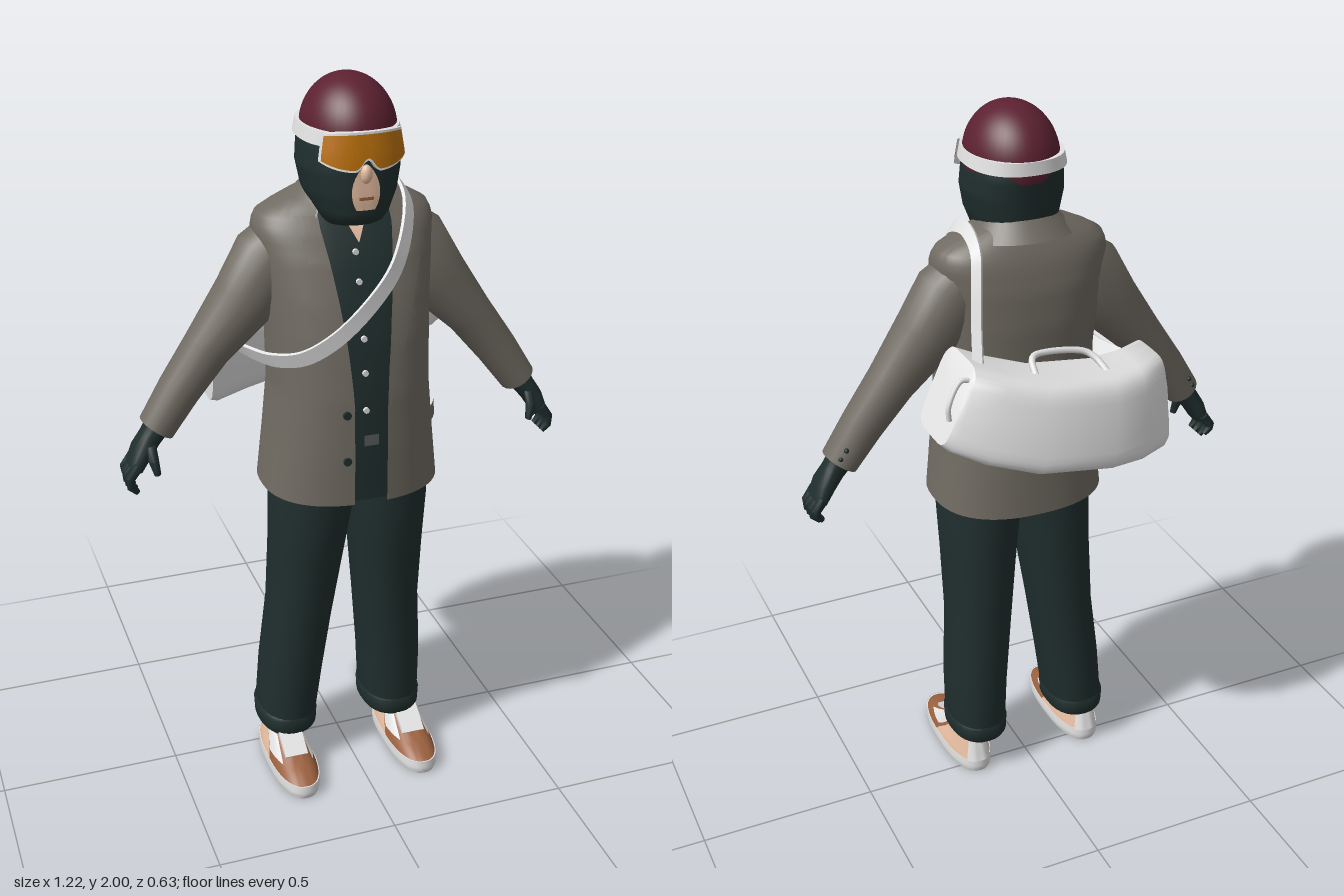
import * as THREE from 'three';
import { toCreasedNormals } from 'three/addons/utils/BufferGeometryUtils.js';

const mat = (name, color) => new THREE.MeshStandardMaterial({ name, color, side: THREE.DoubleSide });
const V = (x, y, z) => new THREE.Vector3(x, y, z);
const TAU = Math.PI * 2;

// Grid surface from a rule f(u, v) -> Vector3
function surface(f, nu, nv) {
  const pos = [], idx = [];
  for (let j = 0; j <= nv; j++)
    for (let i = 0; i <= nu; i++) pos.push(...f(i / nu, j / nv).toArray());
  for (let j = 0; j < nv; j++)
    for (let i = 0; i < nu; i++) {
      const a = j * (nu + 1) + i, b = a + nu + 1;
      idx.push(a, a + 1, b, b, a + 1, b + 1);
    }
  const g = new THREE.BufferGeometry();
  g.setAttribute('position', new THREE.Float32BufferAttribute(pos, 3));
  g.setIndex(idx);
  return toCreasedNormals(g, 0.8);
}

const pw = (s, n) => Math.sign(s) * Math.pow(Math.abs(s), 2 / n);

// Limb through stations [x, y, z, radius across, radius in z], capped at both ends
function limb(st, n = 2, sides = 20) {
  const rings = st.map((s, i) => {
    const a = st[Math.max(i - 1, 0)], b = st[Math.min(i + 1, st.length - 1)];
    const d = V(b[0] - a[0], b[1] - a[1], 0).normalize();
    return { s, ax: -d.y, ay: d.x };
  });
  const all = [{ ...rings[0], k: 0 }, ...rings, { ...rings[rings.length - 1], k: 0 }];
  return surface((u, v) => {
    const { s, ax, ay, k = 1 } = all[Math.round(v * (all.length - 1))];
    const p = k * s[3] * pw(Math.cos(u * TAU), n), q = k * s[4] * pw(Math.sin(u * TAU), n);
    return V(s[0] + ax * p, s[1] + ay * p, s[2] + q);
  }, sides, all.length - 1);
}

// Upright body described by rows [y, half width, front z, back z]; t = 0 faces the front
const rowAt = (table, y) => {
  let i = 0;
  while (i < table.length - 2 && y > table[i + 1][0]) i++;
  const a = table[i], b = table[i + 1];
  const k = THREE.MathUtils.clamp((y - a[0]) / (b[0] - a[0]), 0, 1);
  return a.map((q, j) => q + (b[j] - q) * k);
};
const N = 2.4;
function point(table, t, y, off = 0) {
  const [, w, f, b] = rowAt(table, y), s = Math.sin(t), c = Math.cos(t);
  return V(w * pw(s, N) + off * s, y, (f + b) / 2 + (f - b) / 2 * pw(c, N) + off * c);
}
const angleAt = (table, x, y) =>
  Math.sign(x) * Math.asin(Math.pow(Math.min(Math.abs(x) / rowAt(table, y)[1], 1), N / 2));
const loft = (table, t0, t1, y0, y1, off, nu = 48, nv = 24) =>
  surface((u, v) => point(table, t0 + (t1 - t0) * u, y0 + (y1 - y0) * v, off), nu, nv);
const disk = (table, y, off = 0) => surface((u, v) => {
  const [, , f, b] = rowAt(table, y);
  return point(table, u * TAU, y, off).lerp(V(0, y, (f + b) / 2), v);
}, 40, 1);
// Raised plate between x edges, following the front of a body
const plate = (table, y0, y1, xa, xb, off) => surface((u, v) => {
  const y = y0 + (y1 - y0) * v, x = xa(y) + (xb(y) - xa(y)) * u;
  return point(table, angleAt(table, x, y), y, off);
}, 8, 8);

const torso = [[0.905, 0.242, 0.285, -0.125], [1.05, 0.226, 0.285, -0.12], [1.2, 0.212, 0.28, -0.11],
  [1.35, 0.215, 0.262, -0.105], [1.45, 0.222, 0.238, -0.11], [1.55, 0.234, 0.202, -0.105],
  [1.62, 0.242, 0.165, -0.09], [1.655, 0.225, 0.14, -0.075], [1.69, 0.15, 0.12, -0.055], [1.71, 0.1, 0.11, -0.045]];
const head = [[1.58, 0.07, 0.11, -0.03], [1.63, 0.076, 0.15, -0.035], [1.645, 0.08, 0.205, -0.037],
  [1.67, 0.095, 0.22, -0.042], [1.72, 0.116, 0.224, -0.05], [1.78, 0.128, 0.222, -0.057],
  [1.83, 0.123, 0.221, -0.064], [1.89, 0.11, 0.215, -0.06]];
const sole = [[0, 0.062, 0.31, -0.045], [0.012, 0.067, 0.315, -0.05], [0.04, 0.066, 0.312, -0.048]];
const upper = [[0.038, 0.064, 0.309, -0.045], [0.052, 0.061, 0.285, -0.04], [0.078, 0.052, 0.215, -0.032], [0.11, 0.044, 0.15, -0.02]];

export function createModel() {
  const model = new THREE.Group();
  const wine = mat('wine knit', 0x5c2131), grey = mat('jacket grey', 0x706b62), dark = mat('dark green cloth', 0x1f2e2d),
    light = mat('light canvas', 0xe2e2e2), amber = mat('amber lens', 0xbd720c), skin = mat('skin', 0xe8bfa3),
    brown = mat('brown leather', 0x9b613f), metal = mat('dull metal', 0x565a5a);
  const add = (name, geo, material, parent = model) => {
    const m = new THREE.Mesh(geo, material);
    m.name = name;
    parent.add(m);
    return m;
  };
  const group = (name) => {
    const g = new THREE.Group();
    g.name = name;
    model.add(g);
    return g;
  };

  // Jacket, open down the front
  const gap = (y) => 0.045 + 0.055 * Math.pow(Math.max(0, (y - 1.15) / 0.51), 1.5);
  const jacket = group('jacket');
  add('jacketBody', surface((u, v) => {
    const y = 0.905 + 0.805 * v, g = angleAt(torso, Math.min(gap(y), 0.095), y);
    return point(torso, g + (TAU - 2 * g) * u, y);
  }, 56, 40), grey, jacket);
  add('jacketCollar', surface((u, v) => {
    const t = 0.75 + (TAU - 1.5) * u, a = [0.15, 0.108, 0.098][Math.round(v * 2)];
    const y = [1.68, 1.728, 1.69][Math.round(v * 2)] - 0.035 * (1 + Math.cos(t)) / 2;
    return V(a * Math.sin(t), y, 0.04 + (a - 0.015) * Math.cos(t));
  }, 36, 2), grey, jacket);
  for (const s of [1, -1]) {
    const side = s > 0 ? 'left' : 'right';
    const inner = (y) => s * gap(y);
    add(side + 'Lapel', plate(torso, 1.18, 1.54, inner, (y) => s * (gap(y) + 0.004 + 0.2 * (y - 1.18)), 0.009), grey, jacket);
    add(side + 'LapelTop', plate(torso, 1.555, 1.66, inner, (y) => s * (gap(y) + 0.05), 0.009), grey, jacket);
    add(side + 'PocketFlap', loft(torso, s * 0.62, s * 1.2, 1.09, 1.13, 0.009, 8, 2), grey, jacket);
  }
  add('breastWelt', plate(torso, 1.4, 1.42, () => 0.1, () => 0.16, 0.007), grey, jacket);

  // Shirt and waist inside the jacket
  const shirt = group('shirt');
  add('shirtBody', loft(torso, 0, TAU, 0.91, 1.68, -0.012), dark, shirt);
  add('shirtBottom', disk(torso, 0.91, -0.012), dark, shirt);
  add('neckSkin', plate(torso, 1.59, 1.66, (y) => -0.5 * (y - 1.59), (y) => 0.5 * (y - 1.59), -0.005), skin, shirt);
  const button = (name, x, y, off, r, m) => {
    const b = add(name, new THREE.CylinderGeometry(r, r, 0.008, 12), m, shirt);
    b.position.copy(point(torso, angleAt(torso, x, y), y, off));
    b.rotation.x = Math.PI / 2;
  };
  [1.57, 1.5, 1.36, 1.27, 1.17].forEach((y) => button('shirtButton', -0.012, y, -0.008, 0.008, light));
  [1.165, 1.035].forEach((y) => button('jacketButton', -0.065, y, 0.003, 0.011, dark));
  add('beltBuckle', plate(torso, 1.07, 1.1, () => -0.018, () => 0.022, -0.006), metal, shirt);

  // Sleeves and gloved hands
  for (const s of [1, -1]) {
    const arm = group(s > 0 ? 'leftArm' : 'rightArm');
    arm.scale.x = s;
    add('sleeve', limb([[0.15, 1.595, 0.03, 0.068, 0.075], [0.19, 1.532, 0.035, 0.1, 0.09], [0.265, 1.425, 0.04, 0.088, 0.083],
      [0.367, 1.305, 0.04, 0.065, 0.068], [0.45, 1.195, 0.045, 0.057, 0.06], [0.515, 1.1, 0.05, 0.05, 0.057]]), grey, arm);
    for (const k of [0, 1])
      add('cuffButton', new THREE.SphereGeometry(0.007, 8, 6), dark, arm).position.set(0.525 - k * 0.015, 1.13 + k * 0.025, 0.002 - k * 0.006);
    add('palm', limb([[0.51, 1.11, 0.05, 0.034, 0.038], [0.535, 1.075, 0.052, 0.03, 0.036], [0.56, 1.04, 0.054, 0.027, 0.047],
      [0.58, 1.0, 0.055, 0.021, 0.047]], 2.4), dark, arm);
    [0.015, 0.041, 0.067, 0.092].forEach((z, i) => {
      const d = i === 0 ? 0.015 : 0;
      add('finger', limb([[0.575, 1.015, z, 0.014, 0.013], [0.6, 0.98, z, 0.013, 0.013], [0.598, 0.955 + d, z, 0.012, 0.012],
        [0.582, 0.938 + d, z, 0.008, 0.008]], 2, 10), dark, arm);
    });
    add('thumb', limb([[0.54, 1.065, 0.08, 0.015, 0.015], [0.538, 1.03, 0.103, 0.014, 0.014], [0.53, 0.99, 0.11, 0.009, 0.009]], 2, 10), dark, arm);
  }

  // Trousers with turned-up cuffs, then shoes
  for (const s of [1, -1]) {
    const leg = group(s > 0 ? 'leftLeg' : 'rightLeg');
    leg.scale.x = s;
    const splay = (y) => (s < 0 ? 0.055 * Math.pow(Math.max(0, 0.9 - y), 1.6) : 0);
    const rows = [[1, 0.1, 0.085, 0.1, 0.15], [0.85, 0.107, 0.087, 0.108, 0.152], [0.7, 0.114, 0.076, 0.098, 0.138],
      [0.5, 0.123, 0.062, 0.088, 0.122], [0.3, 0.137, 0.055, 0.086, 0.115], [0.16, 0.141, 0.05, 0.082, 0.112], [0.12, 0.141, 0.05, 0.079, 0.109]];
    add('trouserLeg', limb(rows.map(([y, x, z, a, b]) => [x + splay(y), y, z, a, b]), 2.3, 28), dark, leg);
    add('trouserCuff', limb([[0.17, 0.08], [0.16, 0.086], [0.122, 0.084], [0.112, 0.078]]
      .map(([y, r]) => [0.141 + splay(0.14), y, 0.05, r, r + 0.029]), 2.3, 28), dark, leg);

    const shoe = group(s > 0 ? 'leftShoe' : 'rightShoe');
    shoe.scale.x = s;
    shoe.position.x = s > 0 ? 0.165 : -0.192;
    add('sole', loft(sole, 0, TAU, 0, 0.04, 0, 40, 4), light, shoe);
    add('soleTop', disk(sole, 0.039), light, shoe);
    add('outsole', disk(sole, 0), brown, shoe);
    add('toeCap', loft(upper, -1.5, 1.5, 0.038, 0.11, 0, 24, 6), brown, shoe);
    add('quarter', loft(upper, 1.5, TAU - 1.5, 0.038, 0.11, 0, 24, 6), skin, shoe);
    add('upperTop', disk(upper, 0.11), light, shoe);
    add('heelTab', loft(upper, Math.PI - 0.5, Math.PI + 0.5, 0.038, 0.1, 0.004, 10, 4), light, shoe);
    for (const k of [1, -1])
      add('laceGuard', loft(upper, k * 0.75, k * 1.4, 0.064, 0.108, 0.004, 8, 4), light, shoe);
    const tongue = add('tongue', new THREE.BoxGeometry(0.066, 0.014, 0.12), light, shoe);
    tongue.position.set(0, 0.106, 0.16);
    tongue.rotation.x = 0.55;
    add('ankle', limb([[0, 0.16, 0.05, 0.042, 0.052], [0, 0.05, 0.05, 0.045, 0.06]]), skin, shoe);
  }

  // Head: balaclava, face opening, knit cap and goggles
  const headGroup = group('head');
  add('balaclava', loft(head, 0, TAU, 1.58, 1.88, 0, 48, 30), dark, headGroup);
  const mouthEdge = (y) => 0.036 - 6 * Math.pow(y - 1.735, 2);
  add('faceOpening', plate(head, 1.69, 1.8, (y) => -mouthEdge(y), mouthEdge, 0.004), skin, headGroup);
  const nose = add('nose', new THREE.SphereGeometry(1, 14, 10), skin, headGroup);
  nose.scale.set(0.015, 0.024, 0.014);
  nose.position.set(0, 1.782, 0.226);
  add('mouth', plate(head, 1.717, 1.725, () => -0.018, () => 0.018, 0.007), brown, headGroup);
  const cap = add('knitCap', new THREE.SphereGeometry(1, 40, 24, 0, TAU, 0, Math.PI / 2 + 0.25), wine, headGroup);
  cap.scale.set(0.121, 0.14, 0.148);
  cap.position.set(0.003, 1.86, 0.077);
  // Raised band on the head, with edges returning inward
  const band = (t0, t1, low, high, off) => surface((u, v) => {
    const t = t0 + (t1 - t0) * u, k = Math.round(v * 3);
    return point(head, t, k < 2 ? low(t) : high(t), k % 3 === 0 ? 0 : off);
  }, 48, 3);
  const lower = (t) => 1.796 + 0.03 * Math.exp(-Math.pow(t / 0.09, 2)) + 0.035 * t * t;
  const top = (t) => 1.884 - 0.01 * t * t;
  add('goggleStrap', band(0.75, TAU - 0.75, () => 1.85, () => 1.884, 0.012), light, headGroup);
  add('goggleFrame', band(-0.86, 0.86, (t) => lower(t) - 0.006, (t) => top(t) + 0.005, 0.019), light, headGroup);
  add('goggleLens', surface((u, v) => {
    const t = -0.79 + 1.58 * u;
    return point(head, t, lower(t) + (top(t) - lower(t)) * v, 0.0215);
  }, 48, 4), amber, headGroup);

  // Duffel bag slung across the back
  const bag = group('duffelBag');
  const body = limb([[-0.335, 1.205, -0.098, 0.116, 0.08], [-0.32, 1.205, -0.108, 0.124, 0.088], [-0.23, 1.21, -0.155, 0.122, 0.096],
    [-0.13, 1.22, -0.185, 0.12, 0.1], [0.07, 1.25, -0.198, 0.118, 0.1], [0.19, 1.287, -0.178, 0.116, 0.1],
    [0.27, 1.322, -0.156, 0.112, 0.098], [0.282, 1.329, -0.152, 0.105, 0.092]], 5, 32);
  const p = body.attributes.position;
  for (let i = 0; i < p.count; i++) p.setZ(i, p.getZ(i) + 0.22 * (p.getY(i) - 1.27));
  add('bagBody', toCreasedNormals(body, 0.7), light, bag);
  const tube = (pts, r) => new THREE.TubeGeometry(new THREE.CatmullRomCurve3(pts.map((q) => V(...q))), 24, r, 8);
  add('bagHandle', tube([[-0.15, 1.335, -0.19], [-0.135, 1.36, -0.15], [-0.11, 1.375, -0.13], [0.03, 1.395, -0.137],
    [0.05, 1.39, -0.155], [0.055, 1.365, -0.19]], 0.009), light, bag);
  add('endLoop', tube([[-0.33, 1.28, -0.15], [-0.342, 1.26, -0.15], [-0.342, 1.19, -0.165], [-0.33, 1.17, -0.17]], 0.007), light, bag);
  add('endLoop', tube([[0.235, 1.39, -0.2], [0.265, 1.395, -0.2], [0.305, 1.34, -0.215], [0.305, 1.3, -0.215]], 0.007), light, bag);

  // Shoulder strap: a flat ribbon around the torso, narrower behind
  const path = new THREE.CatmullRomCurve3([[0.195, 1.41, -0.15], [0.185, 1.5, -0.122], [0.172, 1.6, -0.095], [0.16, 1.67, -0.064],
    [0.152, 1.7, 0.015], [0.145, 1.665, 0.125], [0.105, 1.58, 0.203], [0.06, 1.505, 0.232], [-0.07, 1.39, 0.266],
    [-0.16, 1.33, 0.245], [-0.215, 1.305, 0.185], [-0.25, 1.28, 0.06], [-0.29, 1.28, -0.05], [-0.31, 1.28, -0.12]].map((q) => V(...q)));
  add('shoulderStrap', surface((u, v) => {
    const c = path.getPoint(v), k = Math.round(u * 4);
    const out = V(c.x, 0.6 * (c.y - 1.5), c.z - 0.05).normalize();
    const wide = path.getTangent(v).cross(out).normalize();
    const half = THREE.MathUtils.lerp(0.014, 0.021, THREE.MathUtils.smoothstep(v, 0.2, 0.4));
    const [a, b] = [[-1, 0], [1, 0], [1, 1], [-1, 1], [-1, 0]][k];
    return c.addScaledVector(wide, a * half).addScaledVector(out, b * 0.009);
  }, 4, 70), light, bag);

  return model;
}
